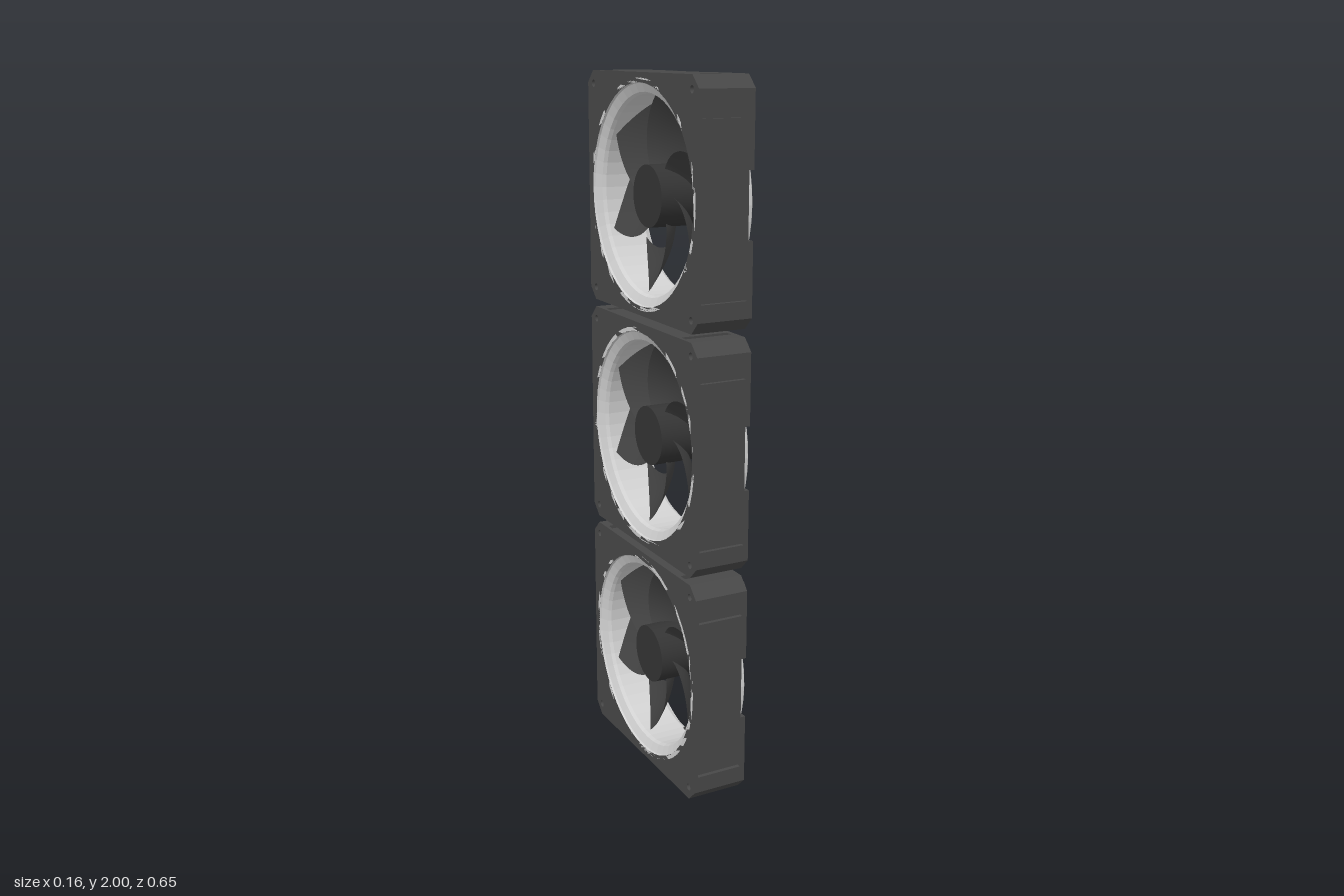
import * as THREE from 'three';

const frameMat = new THREE.MeshStandardMaterial({ color: 0x484848, flatShading: true });
frameMat.name = 'frame charcoal';
const bladeMat = new THREE.MeshStandardMaterial({ color: 0x404040, side: THREE.DoubleSide });
bladeMat.name = 'blade grey';
const hubMat = new THREE.MeshStandardMaterial({ color: 0x343434 });
hubMat.name = 'hub dark';
const ringMat = new THREE.MeshStandardMaterial({ color: 0xd0d0d0, flatShading: true, side: THREE.DoubleSide });
ringMat.name = 'ring light grey';

const H = 0.326;      // half width of the square frame
const D = 0.082;      // half depth
const C = 0.034;      // corner chamfer
const N = 0.012;      // side recess depth
const HOLE = 0.29;    // screw hole offset
const BLADES = 6;
const rad = THREE.MathUtils.degToRad;

const mesh = (name, geo, mat) => {
  const m = new THREE.Mesh(geo, mat);
  m.name = name;
  return m;
};

const circle = (x, y, r) => new THREE.Path().absarc(x, y, r, 0, Math.PI * 2, true);

const extrude = (shape, z0, z1) => new THREE.ExtrudeGeometry(shape,
  { depth: z1 - z0, bevelEnabled: false, curveSegments: 24 }).translate(0, 0, z0);

// Square outline with chamfered corners, and two recesses per side if wanted
function frameShape(recessed) {
  const recess = [[H, -0.245], [H - N, -0.245], [H - N, -0.22], [H, -0.22],
    [H, 0.22], [H - N, 0.22], [H - N, 0.245], [H, 0.245]];
  const side = [[H, C - H], ...(recessed ? recess : []), [H, H - C]];
  const pts = [];
  for (let k = 0; k < 4; k++) {
    for (const [x, y] of side) {
      pts.push(new THREE.Vector2(x, y).rotateAround(new THREE.Vector2(), k * Math.PI / 2));
    }
  }
  const s = new THREE.Shape(pts);
  s.holes.push(circle(0, 0, 0.3));
  for (const x of [-HOLE, HOLE]) for (const y of [-HOLE, HOLE]) s.holes.push(circle(x, y, 0.01));
  return s;
}

// Raised corner plate that hugs the ring
function cornerShape() {
  const pts = [[H, 0.09], [H, H - C], [H - C, H], [0.09, H]];
  const s = new THREE.Shape(pts.map(([x, y]) => new THREE.Vector2(x, y)));
  const a = Math.asin(0.09 / 0.32);
  s.absarc(0, 0, 0.32, Math.PI / 2 - a, a, true);
  s.closePath();
  s.holes.push(circle(HOLE, HOLE, 0.01));
  return s;
}

function createCorner() {
  const g = new THREE.Group();
  g.name = 'corner';
  g.add(mesh('cornerPlate', extrude(cornerShape(), 0.065, 0.0795), frameMat));
  // Pad around the screw hole
  const pad = new THREE.Shape().absarc(HOLE, HOLE, 0.024, 0, Math.PI * 2);
  pad.holes.push(circle(HOLE, HOLE, 0.01));
  g.add(mesh('screwPad', extrude(pad, 0.0795, D), frameMat));
  // Ribs fanning out from the pad
  for (const deg of [-102, -122, -148, -168]) {
    const a = rad(deg), len = Math.abs(deg + 135) > 20 ? 0.1 : 0.06;
    const rib = mesh('cornerRib', new THREE.BoxGeometry(len, 0.006, 0.0025), frameMat);
    rib.position.set(HOLE + (0.022 + len / 2) * Math.cos(a), HOLE + (0.022 + len / 2) * Math.sin(a), D - 0.00125);
    rib.rotation.z = a;
    g.add(rib);
  }
  return g;
}

// Light liner with a flared lip on both faces
function ringGeometry() {
  const profile = [[0.27, -0.055], [0.275, -0.065], [0.298, -0.076], [0.3, -D], [0.312, -D],
    [0.312, -0.0815], [0.302, -0.0815], [0.302, 0.066], [0.32, 0.066], [0.32, 0.078],
    [0.315, D], [0.3, D], [0.298, 0.076], [0.275, 0.065], [0.27, 0.055], [0.27, -0.055]];
  return new THREE.LatheGeometry(profile.map(([r, y]) => new THREE.Vector2(r, y)), 48)
    .rotateX(Math.PI / 2);
}

// Swept, pitched blade laid out on a polar grid
function bladeGeometry() {
  const U = 14, V = 10, pos = [], idx = [];
  for (let i = 0; i <= U; i++) {
    const s = i / U, r = 0.08 + 0.186 * s;
    const mid = rad(25 + 36 * Math.pow(s, 1.6));
    const half = rad(28 - 5 * Math.sin(Math.PI * Math.min(1, s * 0.9)));
    const pitch = 0.036 + 0.012 * s;
    for (let j = 0; j <= V; j++) {
      const v = 2 * j / V - 1, a = mid + v * half;
      pos.push(r * Math.cos(a), r * Math.sin(a), 0.01 - 0.008 * s + pitch * v + 0.01 * (1 - v * v));
      if (i < U && j < V) {
        const p = i * (V + 1) + j, q = p + V + 1;
        idx.push(p, q, p + 1, q, q + 1, p + 1);
      }
    }
  }
  const g = new THREE.BufferGeometry();
  g.setAttribute('position', new THREE.Float32BufferAttribute(pos, 3));
  g.setIndex(idx);
  g.computeVertexNormals();
  return g;
}

function createFan() {
  const fan = new THREE.Group();
  fan.name = 'fan';
  fan.add(mesh('frameBack', extrude(frameShape(false), -D, -0.072), frameMat));
  fan.add(mesh('frameBody', extrude(frameShape(true), -0.072, 0.065), frameMat));
  for (let k = 0; k < 4; k++) {
    const corner = createCorner();
    corner.rotation.z = k * Math.PI / 2;
    fan.add(corner);
  }
  fan.add(mesh('ring', ringGeometry(), ringMat));

  // Rotor
  const rotor = new THREE.Group();
  rotor.name = 'rotor';
  const hub = new THREE.CylinderGeometry(0.085, 0.085, 0.13, 32).rotateX(Math.PI / 2);
  rotor.add(mesh('hub', hub.translate(0, 0, 0.005), hubMat));
  const blade = bladeGeometry();
  for (let k = 0; k < BLADES; k++) {
    const b = mesh('blade', blade, bladeMat);
    b.rotation.z = k * Math.PI * 2 / BLADES;
    rotor.add(b);
  }
  fan.add(rotor);
  return fan;
}

export function createModel() {
  const model = new THREE.Group();
  model.name = 'fanStack';
  // Three fans stacked upright, facing +x
  for (let i = 0; i < 3; i++) {
    const fan = createFan();
    fan.position.y = H + i * 0.674;
    fan.rotation.y = Math.PI / 2;
    model.add(fan);
  }
  return model;
}
